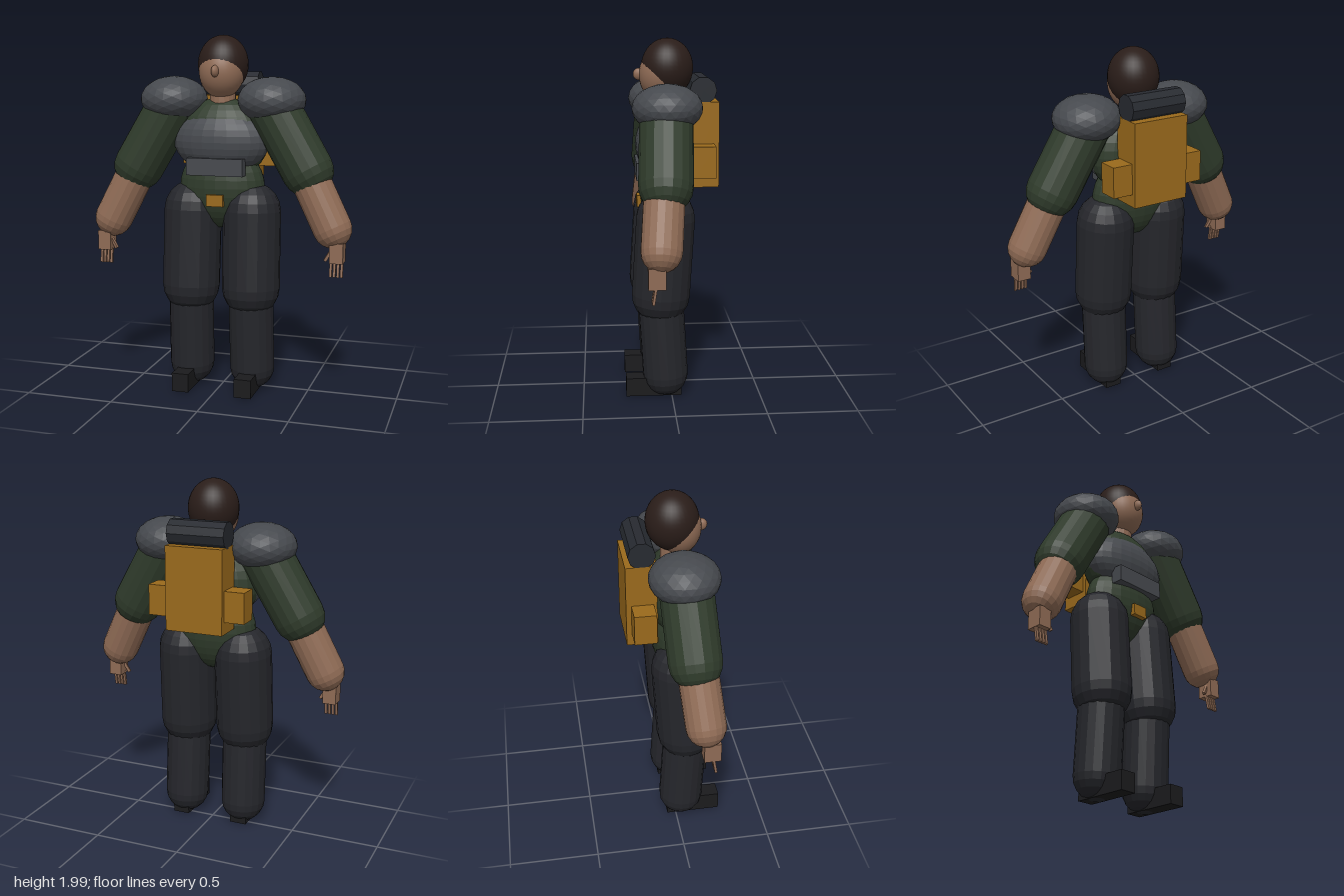
import * as THREE from 'three';

const mat = (color, flatShading = true) => new THREE.MeshStandardMaterial({ color, flatShading });
const skin = mat(0x8f6b55), skinSmooth = mat(0x8f6b55, false), hairMat = mat(0x2a1d19, false);
const green = mat(0x2f3b2b), trousers = mat(0x25262b), armour = mat(0x46494e);
const canvas = mat(0x9a6a1c), boots = mat(0x1b1b1d), roll = mat(0x272a30);

export function createModel() {
  const model = new THREE.Group();
  model.name = 'soldier';

  const add = (name, geometry, material, pos, parent = model) => {
    const mesh = new THREE.Mesh(geometry, material);
    mesh.name = name;
    mesh.position.set(...pos);
    parent.add(mesh);
    return mesh;
  };
  const box = (name, material, size, pos, parent) =>
    add(name, new THREE.BoxGeometry(...size), material, pos, parent);
  const ellipsoid = (name, material, radii, pos, parent, segs = 24) =>
    add(name, new THREE.SphereGeometry(1, segs, Math.round(segs * 0.67)).scale(...radii), material, pos, parent);
  // Stretches a mesh shape built along y between two points
  const between = (name, makeGeometry, material, a, b, parent) => {
    const from = new THREE.Vector3(...a), to = new THREE.Vector3(...b);
    const dir = to.clone().sub(from);
    const mid = from.clone().add(to).multiplyScalar(0.5);
    const mesh = add(name, makeGeometry(dir.length()), material, mid.toArray(), parent);
    mesh.quaternion.setFromUnitVectors(new THREE.Vector3(0, 1, 0), dir.normalize());
    return mesh;
  };
  const limb = (name, material, r, a, b, parent) =>
    between(name, (len) => new THREE.CapsuleGeometry(r, len, 5, 18), material, a, b, parent);
  const stick = (name, material, w, a, b, parent) =>
    between(name, (len) => new THREE.BoxGeometry(w, len, w), material, a, b, parent);

  // Head and neck
  ellipsoid('head', skinSmooth, [0.125, 0.145, 0.122], [0, 1.8, 0.045], model, 32);
  ellipsoid('hair', hairMat, [0.14, 0.16, 0.143], [0, 1.84, 0.012], model, 32);
  ellipsoid('nose', skinSmooth, [0.021, 0.033, 0.03], [0, 1.805, 0.17], model, 12);
  add('neck', new THREE.CylinderGeometry(0.07, 0.075, 0.14, 16), skin, [0, 1.65, 0.02]);

  // Torso with chest armour and belt
  ellipsoid('chest', green, [0.265, 0.23, 0.15], [0, 1.43, 0.02]);
  ellipsoid('hips', green, [0.245, 0.235, 0.14], [0, 1.165, 0.03]);
  ellipsoid('chestPlate', armour, [0.275, 0.18, 0.14], [0, 1.42, 0.05]);
  box('chestPouch', armour, [0.32, 0.095, 0.07], [0, 1.287, 0.155]);
  box('beltBuckle', canvas, [0.094, 0.065, 0.06], [0, 1.102, 0.155]);

  // Backpack with bedroll
  box('backpack', canvas, [0.33, 0.465, 0.17], [0, 1.433, -0.175]);
  const bedroll = add('bedroll', new THREE.CylinderGeometry(0.074, 0.074, 0.33, 10), roll, [0, 1.727, -0.172]);
  bedroll.rotation.z = Math.PI / 2;

  // Paired parts
  for (const [side, s] of [['left', 1], ['right', -1]]) {
    const arm = new THREE.Group();
    arm.name = side + 'Arm';
    const leg = new THREE.Group();
    leg.name = side + 'Leg';
    model.add(arm, leg);

    box(side + 'SidePouch', canvas, [0.12, 0.17, 0.12], [s * 0.22, 1.355, -0.172]);

    // Arm
    add('shoulderPad', new THREE.IcosahedronGeometry(1, 3).scale(0.188, 0.128, 0.188), armour,
      [s * 0.282, 1.648, 0.03], arm);
    limb('sleeve', green, 0.143, [s * 0.285, 1.62, 0.035], [s * 0.49, 1.27, 0.052], arm);
    limb('forearm', skin, 0.108, [s * 0.5, 1.24, 0.06], [s * 0.638, 0.965, 0.084], arm);

    // Hand with four fingers and a thumb
    box('palm', skin, [0.075, 0.11, 0.09], [s * 0.672, 0.84, 0.11], arm);
    for (let i = 0; i < 4; i++) {
      const x = s * (0.64 + i * 0.02);
      stick('finger', skin, 0.014, [x, 0.8, 0.115], [x, 0.706, 0.13], arm);
    }
    stick('thumb', skin, 0.016, [s * 0.643, 0.855, 0.12], [s * 0.606, 0.793, 0.125], arm);

    // Leg
    limb('thigh', trousers, 0.163, [s * 0.172, 1.032, 0.033], [s * 0.176, 0.6, 0.06], leg);
    limb('shin', trousers, 0.127, [s * 0.177, 0.5, 0.057], [s * 0.18, 0.135, 0.035], leg);
    box('boot', boots, [0.096, 0.105, 0.31], [s * 0.182, 0.068, 0.103], leg);
  }

  // Stand on the ground and centre
  const bounds = new THREE.Box3().setFromObject(model);
  model.position.y = -bounds.min.y;
  return model;
}
